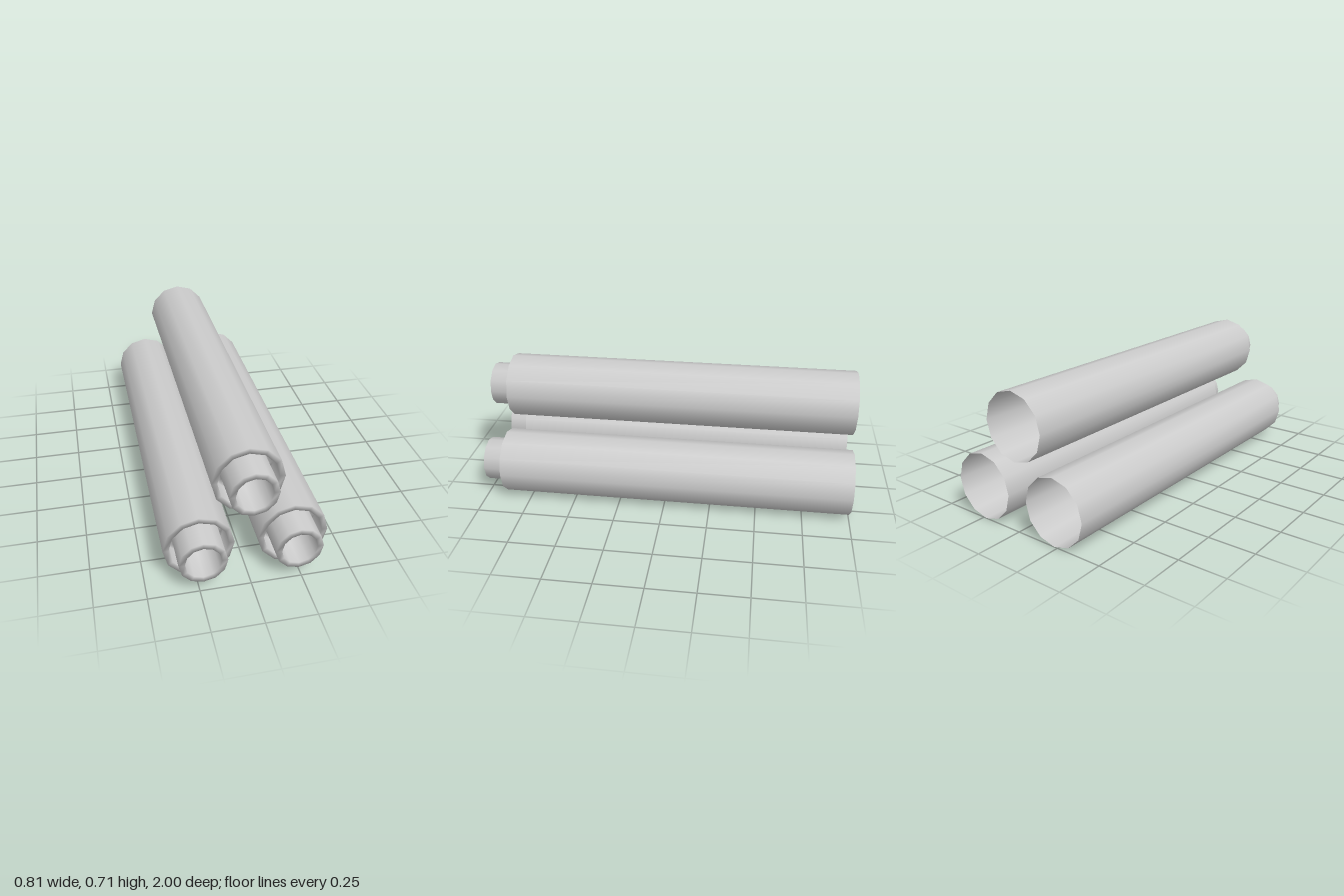
import * as THREE from 'three';

// Half-section of one tube as [radius, z], from the open back to the bore floor
const PROFILE = [
  [0.174, -1], [0.174, 0.89],   // outer wall
  [0.146, 0.89], [0.146, 0.78], // front rim and outside of the groove
  [0.117, 0.78], [0.117, 1],    // groove floor and inner sleeve
  [0.088, 1], [0.088, 0.78],    // sleeve rim and bore
  [0, 0.78],                    // bore floor
];

export function createModel() {
  const model = new THREE.Group();
  model.name = 'tubeCluster';

  const material = new THREE.MeshStandardMaterial({ color: 0xcccccc, side: THREE.DoubleSide });

  // Twelve-sided smooth lathe, turned so its axis runs along z
  const geometry = new THREE.LatheGeometry(PROFILE.map(([r, z]) => new THREE.Vector2(r, z)), 12);
  geometry.rotateX(Math.PI / 2);

  // Three tubes stacked in a triangle
  const places = { topTube: [0, 0.535], leftTube: [0.232, 0.174], rightTube: [-0.232, 0.174] };
  for (const [name, [x, y]] of Object.entries(places)) {
    const tube = new THREE.Mesh(geometry, material);
    tube.name = name;
    tube.position.set(x, y, 0);
    model.add(tube);
  }
  return model;
}
